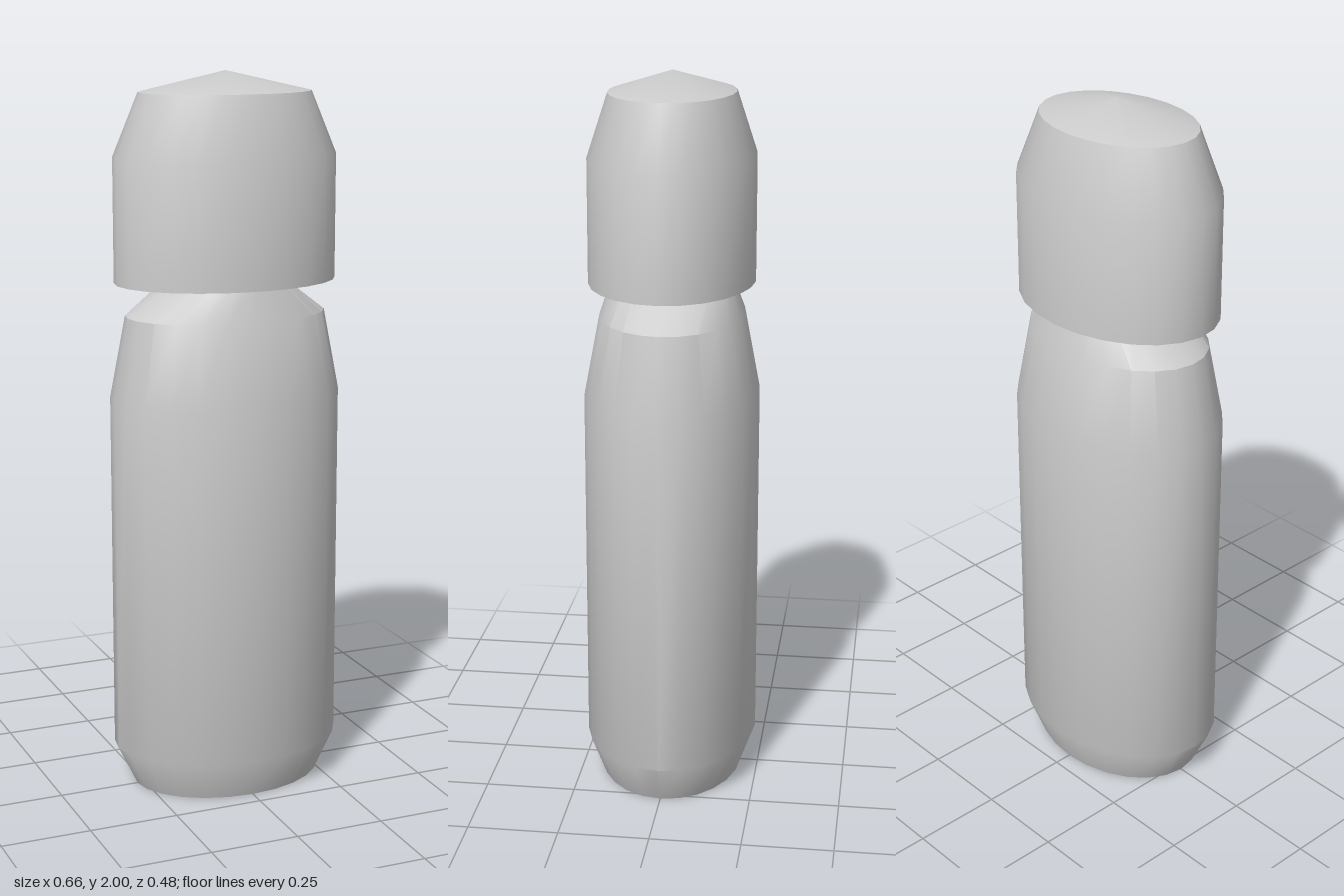
import * as THREE from 'three';
import { toCreasedNormals } from 'three/addons/utils/BufferGeometryUtils.js';

const SIDES = 24;

// Closed loft through elliptical rings [y, radiusX, radiusZ], with a centre point at each end.
function ellipseLoft(rings, bottomY, topY) {
  const pos = [];
  const index = [];
  for (const [y, rx, rz] of rings) {
    for (let i = 0; i < SIDES; i++) {
      const a = (i / SIDES) * Math.PI * 2;
      pos.push(Math.sin(a) * rx, y, Math.cos(a) * rz);
    }
  }
  const bottom = rings.length * SIDES;
  const top = bottom + 1;
  pos.push(0, bottomY, 0, 0, topY, 0);
  const last = (rings.length - 1) * SIDES;
  for (let i = 0; i < SIDES; i++) {
    const j = (i + 1) % SIDES;
    for (let r = 0; r < last; r += SIDES) {
      index.push(r + i, r + j, r + SIDES + j, r + i, r + SIDES + j, r + SIDES + i);
    }
    index.push(bottom, j, i, top, last + i, last + j);
  }
  const geometry = new THREE.BufferGeometry();
  geometry.setAttribute('position', new THREE.Float32BufferAttribute(pos, 3));
  geometry.setIndex(index);
  return toCreasedNormals(geometry, THREE.MathUtils.degToRad(32));
}

export function createModel() {
  const group = new THREE.Group();
  group.name = 'bottle';
  const grey = new THREE.MeshStandardMaterial({ color: 0xcccccc });
  grey.name = 'light grey';

  const add = (name, geometry) => {
    const mesh = new THREE.Mesh(geometry, grey);
    mesh.name = name;
    group.add(mesh);
  };

  // Body with chamfered foot, tapered shoulder and sloping side cuts at the neck
  add('body', ellipseLoft([
    [0, 0.272, 0.2],
    [0.115, 0.328, 0.242],
    [1.12, 0.328, 0.242],
    [1.345, 0.285, 0.199],
    [1.44, 0.158, 0.167],
  ], 0, 1.44));

  // Cap with tapered upper part and a shallow pointed top
  add('cap', ellipseLoft([
    [1.435, 0.314, 0.228],
    [1.775, 0.314, 0.228],
    [1.945, 0.243, 0.172],
  ], 1.435, 2));

  return group;
}
